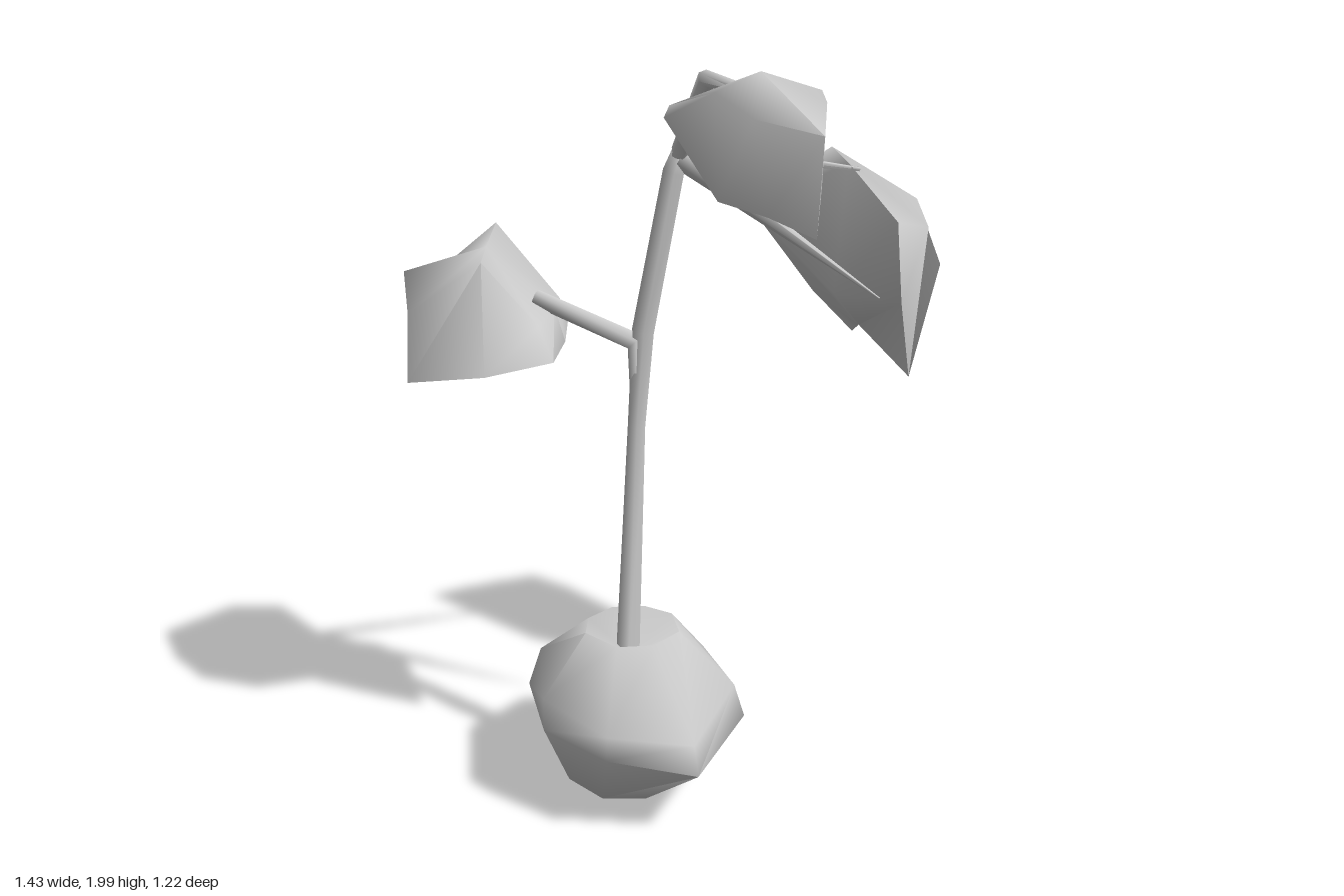
import * as THREE from 'three';
import { toCreasedNormals } from 'three/addons/utils/BufferGeometryUtils.js';

const grey = new THREE.MeshStandardMaterial({ color: 0xcccccc });
const V = (x, y, z) => new THREE.Vector3(x, y, z);

// Closed skin over cross-section loops, capped by a point at each end
function loft(name, start, rings, end) {
  const n = rings[0].length;
  const points = [start, ...rings.flat(), end];
  const last = points.length - 1;
  const index = [];
  for (let j = 0; j < n; j++) {
    const k = (j + 1) % n;
    index.push(0, 1 + k, 1 + j);
    for (let i = 0; i < rings.length - 1; i++) {
      const a = 1 + i * n + j, b = 1 + i * n + k;
      index.push(a, b, b + n, a, b + n, a + n);
    }
    const top = 1 + (rings.length - 1) * n;
    index.push(top + j, top + k, last);
  }
  const geometry = new THREE.BufferGeometry().setFromPoints(points);
  geometry.setIndex(index);
  const mesh = new THREE.Mesh(toCreasedNormals(geometry, 1.5), grey);
  mesh.name = name;
  return mesh;
}

const ring = (rows) => rows.map((p) => V(...p));

// Tapering six-sided limb through [x, y, z, radius] stations
function limb(name, stations) {
  const c = stations.map((s) => V(s[0], s[1], s[2]));
  const rings = c.map((p, i) => {
    const t = c[Math.min(i + 1, c.length - 1)].clone().sub(c[Math.max(i - 1, 0)]).normalize();
    const u = t.clone().cross(V(1, 0, 0.5)).normalize();
    const v = t.clone().cross(u);
    return Array.from({ length: 6 }, (_, j) => {
      const a = (j / 6) * Math.PI * 2, r = stations[i][3];
      return p.clone().addScaledVector(u, r * Math.cos(a)).addScaledVector(v, r * Math.sin(a));
    });
  });
  return loft(name, c[0], rings, c[c.length - 1]);
}

export function createModel() {
  const model = new THREE.Group();
  model.name = 'plant';

  // Rounded, faceted base with a dished top
  model.add(loft('base', V(-0.27, 0.01, 0.01), [
    ring([[-0.18, 0.01, 0], [-0.2, 0.02, -0.12], [-0.28, 0.03, -0.17], [-0.38, 0.03, -0.12],
      [-0.43, 0.03, 0], [-0.4, 0.03, 0.14], [-0.3, 0.03, 0.2], [-0.22, 0.01, 0.12]]),
    ring([[0.05, 0.2, -0.05], [-0.02, 0.22, -0.2], [-0.2, 0.19, -0.33], [-0.44, 0.23, -0.22],
      [-0.55, 0.26, 0.1], [-0.47, 0.24, 0.3], [-0.27, 0.2, 0.43], [0, 0.21, 0.22]]),
    ring([[0.03, 0.3, -0.05], [-0.04, 0.33, -0.19], [-0.2, 0.32, -0.3], [-0.41, 0.34, -0.2],
      [-0.54, 0.34, 0.08], [-0.46, 0.3, 0.29], [-0.27, 0.28, 0.41], [-0.02, 0.3, 0.2]]),
    ring([[-0.13, 0.48, 0.05], [-0.16, 0.47, -0.05], [-0.25, 0.48, -0.07], [-0.34, 0.48, -0.04],
      [-0.39, 0.48, 0.04], [-0.36, 0.48, 0.16], [-0.27, 0.48, 0.2], [-0.17, 0.48, 0.16]]),
  ], V(-0.26, 0.39, 0.05)));

  // Trunk and branches
  model.add(
    limb('trunk', [[-0.258, 0.37, 0.03, 0.036], [-0.2, 1.02, -0.01, 0.026], [-0.183, 1.28, 0, 0.032],
      [-0.115, 1.7, 0.045, 0.03], [-0.09, 1.78, 0.06, 0.022]]),
    limb('frontBranch', [[-0.1, 1.75, 0.06, 0.028], [-0.145, 1.965, 0.26, 0.024], [-0.1, 1.95, 0.36, 0.012]]),
    limb('leftBranch', [[-0.1, 1.765, 0.06, 0.024], [0.43, 1.66, 0.09, 0.006]]),
    limb('backBranch', [[-0.198, 1.04, -0.01, 0.018], [-0.2, 1.25, -0.01, 0.03], [-0.39, 1.35, -0.21, 0.022]]),
    limb('bareTwig', [[-0.095, 1.735, 0.06, 0.032], [0.23, 1.42, 0.47, 0.002]]),
  );

  // Drooping leaf clumps: underside, rim, shoulder, crown
  model.add(loft('backLeaves', V(-0.48, 1.13, -0.38), [
    ring([[-0.35, 1.23, -0.32], [-0.37, 1.24, -0.5], [-0.52, 1.17, -0.54], [-0.58, 1.19, -0.45],
      [-0.6, 1.14, -0.33], [-0.55, 1.16, -0.24], [-0.45, 1.18, -0.2], [-0.37, 1.2, -0.25]]),
    ring([[-0.25, 1.25, -0.3], [-0.29, 1.27, -0.6], [-0.53, 1.04, -0.61], [-0.64, 1.22, -0.47],
      [-0.72, 1.14, -0.31], [-0.58, 1.18, -0.13], [-0.41, 1.21, -0.07], [-0.31, 1.22, -0.2]]),
    ring([[-0.27, 1.31, -0.31], [-0.36, 1.49, -0.51], [-0.53, 1.34, -0.585], [-0.64, 1.39, -0.5],
      [-0.69, 1.31, -0.36], [-0.52, 1.45, -0.26], [-0.43, 1.3, -0.11], [-0.34, 1.32, -0.2]]),
  ], V(-0.45, 1.46, -0.38)));

  model.add(loft('leftLeaves', V(0.5, 1.2, 0.01), [
    ring([[0.7, 1.37, 0.11], [0.67, 1.34, -0.02], [0.57, 1.14, -0.12], [0.43, 1.28, -0.12],
      [0.28, 1.51, -0.2], [0.35, 1.33, 0.1], [0.45, 1.33, 0.27], [0.62, 1.05, 0.09]]),
    ring([[0.71, 1.53, -0.02], [0.64, 1.52, -0.2], [0.5, 1.55, -0.2], [0.38, 1.56, -0.2],
      [0.28, 1.55, -0.2], [0.4, 1.68, 0.08], [0.43, 1.55, 0.27], [0.6, 1.5, 0.18]]),
  ], V(0.43, 1.7, -0.04)));

  model.add(loft('frontLeaves', V(-0.04, 1.71, 0.42), [
    ring([[0.085, 1.76, 0.39], [-0.02, 1.84, 0.2], [-0.23, 1.87, 0.2], [-0.18, 1.69, 0.37],
      [-0.11, 1.665, 0.48], [-0.03, 1.62, 0.57], [0.05, 1.72, 0.47]]),
    ring([[0.12, 1.93, 0.36], [-0.02, 1.9, 0.19], [-0.22, 1.9, 0.21], [-0.19, 1.95, 0.37],
      [-0.15, 1.9, 0.48], [-0.04, 1.87, 0.61], [0.06, 1.92, 0.47]]),
  ], V(-0.1, 2, 0.43)));

  return model;
}
